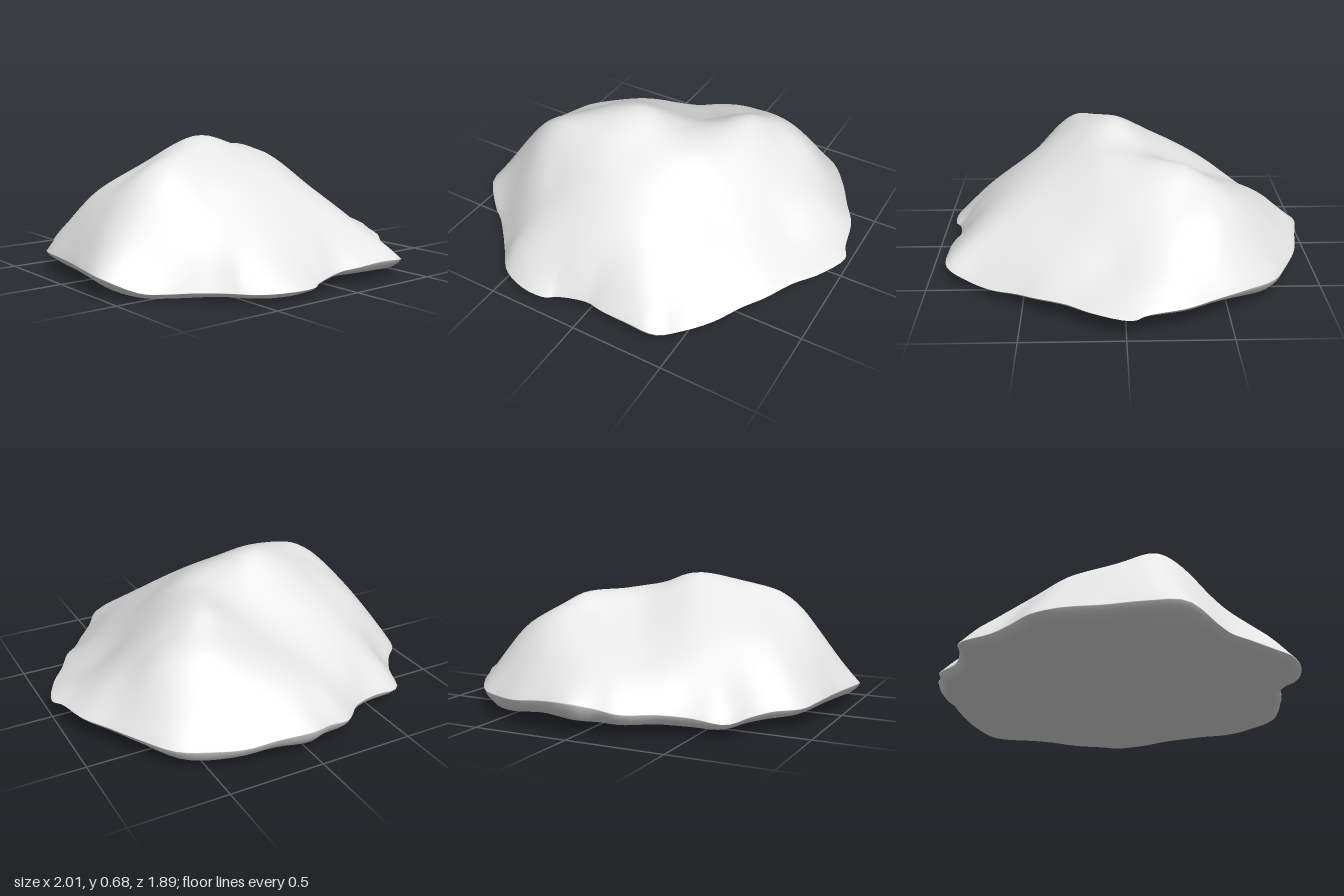
import * as THREE from 'three';
import { mergeVertices } from 'three/addons/utils/BufferGeometryUtils.js';

// Rim outline: x, z, y
const RIM = [
  [1, -.03, .11], [.93, .15, .11], [.84, .28, .11], [.76, .43, .1], [.68, .53, .08], [.6, .66, .06],
  [.5, .79, .06], [.41, .9, .09], [.25, .91, .1], [.1, .9, .09], [0, .88, .08], [-.17, .91, .055],
  [-.21, .935, .05], [-.34, .94, .05], [-.5, .88, .05], [-.6, .77, .05], [-.7, .66, .045], [-.8, .56, .035],
  [-.88, .5, .04], [-1, .36, .1], [-.99, .18, .11], [-.96, 0, .11], [-.94, -.2, .11], [-.9, -.34, .1],
  [-.8, -.44, .1], [-.73, -.54, .09], [-.66, -.7, .08], [-.5, -.73, .1], [-.35, -.78, .11], [-.22, -.89, .12],
  [-.1, -.91, .14], [.02, -.95, .16], [.2, -.92, .15], [.35, -.89, .13], [.5, -.82, .12], [.64, -.74, .12],
  [.76, -.58, .13], [.85, -.42, .13], [.93, -.28, .13], [.97, -.1, .12],
];

// Peak, shoulders, ridges and slopes: x, z, y
const RELIEF = [
  [-.22, .02, .68], [-.12, .01, .67], [-.18, -.12, .605], [-.3, -.28, .505], [0, 0, .62],
  [.04, -.27, .505], [.14, -.1, .59], [.2, .1, .575], [.25, -.17, .595], [.28, -.33, .585],
  [.22, -.42, .51], [.11, -.57, .42], [0, -.73, .32], [-.08, -.43, .415], [-.19, -.6, .32],
  [.42, -.53, .46], [.3, -.7, .35], [.45, -.33, .505], [.6, -.43, .4], [.7, -.3, .31],
  [.8, -.25, .24], [.5, .1, .37], [.7, .05, .23], [.4, .3, .36], [.16, .27, .52],
  [.25, .5, .37], [.32, .7, .24], [.5, .5, .21], [-.5, -.1, .52], [-.58, .24, .585],
  [-.6, .08, .53], [-.45, .3, .585], [-.45, .48, .41], [-.28, .26, .615], [-.7, .24, .505],
  [-.8, .22, .395], [-.9, .2, .26], [-.7, -.2, .39], [-.45, -.45, .375], [-.63, .4, .43],
  [-.77, .4, .28], [-.6, .57, .24], [-.4, .62, .32], [-.1, .25, .595],
];

// Shoulder of the rounded edge, just inside the rim: x, z, y
const EDGE = [
  [.38, .83, .15], [.1, .82, .17], [-.1, .82, .17], [-.33, .88, .11], [-.54, .78, .12], [-.7, .58, .12],
  [-.88, .42, .14], [-.91, 0, .21], [-.85, -.31, .18], [-.63, -.62, .17], [-.35, -.7, .21], [-.16, -.84, .2],
];

// Underside: x, z, y
const UNDERSIDE = [
  [1, 0, .1], [.8, 0, .075], [.75, -.5, .08], [.5, -.75, .04], [.2, -.88, .08], [0, -.88, .07],
  [-.2, -.82, .06], [-.62, -.65, .045], [-.85, -.33, .06], [-.92, 0, .06], [-.95, .3, .05], [-.82, .4, .005],
  [-.6, .7, .02], [-.3, .9, .02], [0, .85, .05], [.38, .86, .045], [.55, .65, .035], [.7, .4, .07],
  [0, 0, .065], [0, -.4, .065], [0, .4, .055],
];

// Smooth surface through all given points (thin-plate spline)
function heightField(pts) {
  const n = pts.length, m = n + 3;
  const kernel = (dx, dz) => {
    const r2 = dx * dx + dz * dz;
    return r2 < 1e-12 ? 0 : r2 * Math.log(r2);
  };
  const A = Array.from({ length: m }, () => new Array(m + 1).fill(0));
  pts.forEach(([x, z, y], i) => {
    pts.forEach((q, j) => { A[i][j] = kernel(x - q[0], z - q[1]); });
    [1, x, z].forEach((v, k) => { A[i][n + k] = A[n + k][i] = v; });
    A[i][i] += 0.001;
    A[i][m] = y;
  });
  for (let c = 0; c < m; c++) {
    let p = c;
    for (let r = c + 1; r < m; r++) if (Math.abs(A[r][c]) > Math.abs(A[p][c])) p = r;
    [A[c], A[p]] = [A[p], A[c]];
    for (let r = 0; r < m; r++) {
      if (r === c) continue;
      const f = A[r][c] / A[c][c];
      for (let k = c; k <= m; k++) A[r][k] -= f * A[c][k];
    }
  }
  const w = A.map((row, i) => row[m] / row[i]);
  return (x, z) => pts.reduce((s, q, i) => s + w[i] * kernel(x - q[0], z - q[1]),
    w[n] + w[n + 1] * x + w[n + 2] * z);
}

function rockGeometry() {
  const SEG = 144, TOP = 32;
  const outline = new THREE.CatmullRomCurve3(RIM.map(([x, z, y]) => new THREE.Vector3(x, y, z)), true)
    .getPoints(SEG).slice(0, SEG);
  const height = heightField([...RIM, ...EDGE, ...RELIEF]);
  const base = heightField(UNDERSIDE);
  const loops = [];

  // Upper surface: loops from the peak out to the rim
  for (let i = 0; i <= TOP; i++) {
    const t = i / TOP;
    loops.push(outline.map((p) => {
      const x = -.2 + (p.x + .2) * t, z = .02 + (p.z - .02) * t;
      return [x, i === TOP ? p.y : height(x, z), z];
    }));
  }
  // Lower edge: loops rolling from the rim down to the underside
  for (const [s, blend] of [[.998, .08], [.985, .5], [.95, 1]]) {
    loops.push(outline.map((p) => {
      const x = p.x * s, z = p.z * s;
      return [x, THREE.MathUtils.lerp(p.y, Math.min(base(x, z), p.y - .01), blend), z];
    }));
  }
  // Gently uneven underside
  for (const s of [.8, .6, .3, 0]) {
    loops.push(outline.map((p) => [p.x * s, base(p.x * s, p.z * s), p.z * s]));
  }

  const index = [];
  const last = loops.length - 2;
  for (let i = 0; i <= last; i++) {
    for (let j = 0; j < SEG; j++) {
      const k = (j + 1) % SEG, a = i * SEG, b = a + SEG;
      if (i < last) index.push(a + j, b + k, b + j);
      else index.push(a + j, a + k, b + j);
      if (i > 0 && i < last) index.push(a + j, a + k, b + k);
    }
  }
  const geo = new THREE.BufferGeometry();
  geo.setAttribute('position', new THREE.Float32BufferAttribute(loops.flat(2), 3));
  geo.setIndex(index);
  const merged = mergeVertices(geo, 1e-5);
  merged.computeVertexNormals();
  merged.computeBoundingBox();
  const { min, max } = merged.boundingBox;
  merged.translate(-(min.x + max.x) / 2, -min.y, -(min.z + max.z) / 2);
  return merged;
}

export function createModel() {
  const stone = new THREE.MeshStandardMaterial({ color: 0xe6e6e6 });
  stone.name = 'pale stone';
  const rock = new THREE.Mesh(rockGeometry(), stone);
  rock.name = 'rock';
  const group = new THREE.Group();
  group.name = 'rockMound';
  group.add(rock);
  return group;
}
